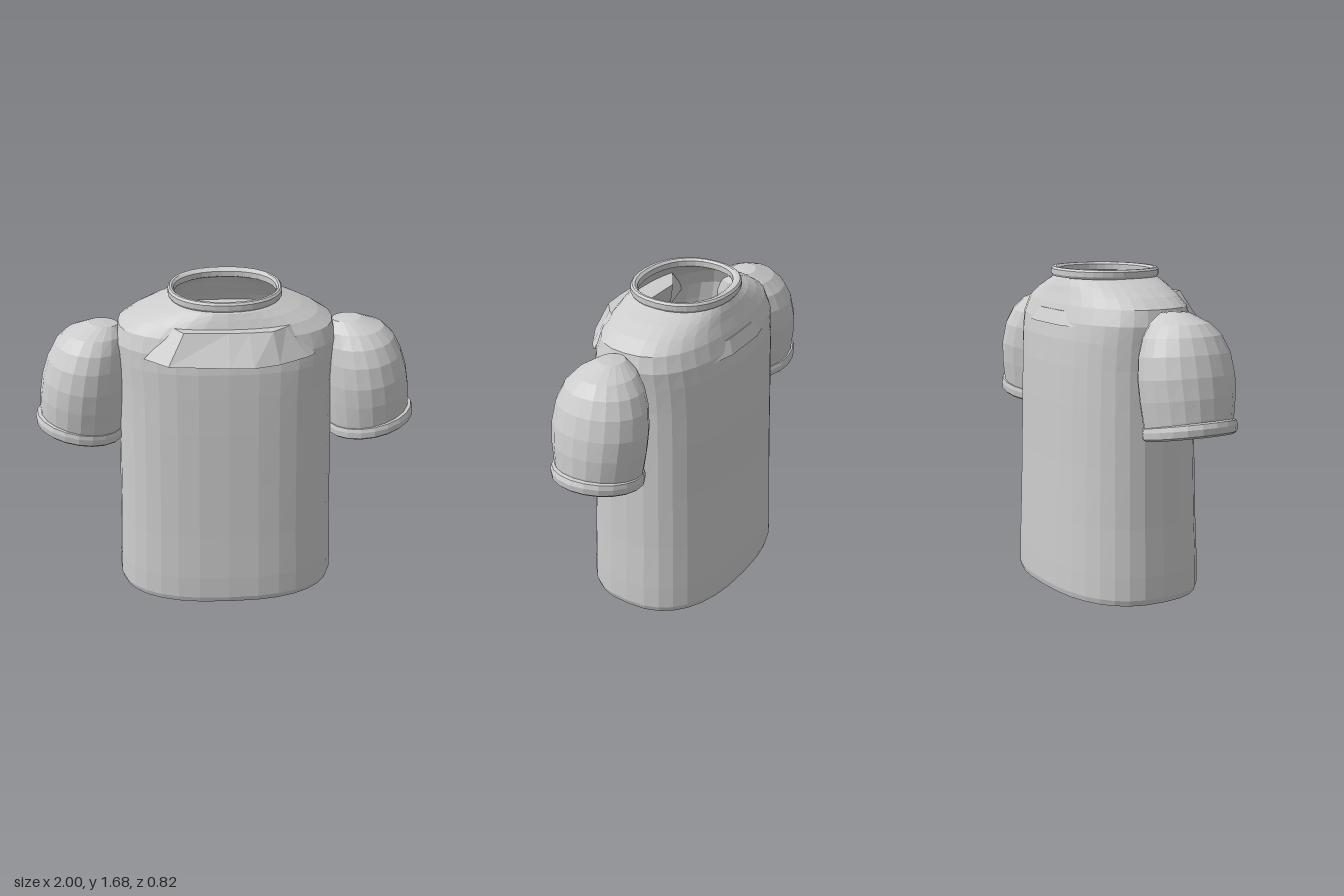
import * as THREE from 'three';

const fabric = new THREE.MeshStandardMaterial({ color: 0xcccccc, side: THREE.DoubleSide });
fabric.name = 'light grey fabric';

// Skin a stack of equally sized closed rings with flat facets
function loft(name, rings) {
  const n = rings[0].length;
  const index = [];
  for (let i = 0; i < rings.length - 1; i++) {
    for (let j = 0; j < n; j++) {
      const a = i * n + j, b = i * n + (j + 1) % n;
      index.push(a, a + n, b, b, a + n, b + n);
    }
  }
  const indexed = new THREE.BufferGeometry().setFromPoints(rings.flat());
  indexed.setIndex(index);
  const geometry = indexed.toNonIndexed();
  geometry.computeVertexNormals();
  const mesh = new THREE.Mesh(geometry, fabric);
  mesh.name = name;
  return mesh;
}

// Horizontal rounded oval: half width, front z, back z, squareness
function oval(y, w, front, back, power = 2.5, segments = 32) {
  const ring = [];
  const soft = (v) => Math.sign(v) * Math.pow(Math.abs(v), 2 / power);
  for (let j = 0; j < segments; j++) {
    const t = (j / segments) * Math.PI * 2;
    ring.push(new THREE.Vector3(
      w * soft(Math.cos(t)), y,
      (front + back) / 2 + ((front - back) / 2) * soft(Math.sin(t))));
  }
  return ring;
}

// Tilted sleeve ring spanning an outer and an inner point, on either side
function sleeveRing(side, [ox, oy, ix, iy, depth], segments = 20) {
  const ring = [];
  for (let j = 0; j < segments; j++) {
    const t = (j / segments) * Math.PI * 2;
    const k = (1 + Math.cos(t)) / 2;
    ring.push(new THREE.Vector3(
      side * (ix + (ox - ix) * k), iy + (oy - iy) * k, side * depth * Math.sin(t)));
  }
  return ring;
}

// Solid panel between a lower and an upper outline of [x, z] points
function panel(name, y0, lower, y1, upper) {
  const ring = (pts, y) => pts.map(([x, z]) => new THREE.Vector3(x, y, z));
  const centre = (pts, y) => {
    const c = ring(pts, y).reduce((s, p) => s.add(p), new THREE.Vector3()).divideScalar(pts.length);
    return pts.map(() => c.clone());
  };
  return loft(name, [centre(lower, y0), ring(lower, y0), ring(upper, y1), centre(upper, y1)]);
}

export function createModel() {
  const shirt = new THREE.Group();
  shirt.name = 'shirt';

  // Torso, open at hem and neck
  shirt.add(loft('torso', [
    [0, 0.575, 0.365, -0.405], [0.03, 0.585, 0.373, -0.412], [0.15, 0.583, 0.372, -0.41],
    [0.4, 0.572, 0.362, -0.402], [0.7, 0.566, 0.353, -0.394], [1.0, 0.56, 0.344, -0.388],
    [1.2, 0.558, 0.336, -0.382], [1.33, 0.565, 0.328, -0.373], [1.42, 0.573, 0.312, -0.358],
    [1.5, 0.55, 0.287, -0.328, 2.45], [1.55, 0.475, 0.268, -0.305, 2.4],
    [1.59, 0.39, 0.25, -0.29, 2.3], [1.62, 0.31, 0.235, -0.275, 2.2],
    [1.64, 0.262, 0.2, -0.24, 2.2],
  ].map((r) => oval(...r))));

  // Collar band
  shirt.add(loft('collar', [
    [1.63, 0.27, 0.215, -0.27], [1.628, 0.285, 0.232, -0.285], [1.64, 0.292, 0.24, -0.292],
    [1.665, 0.292, 0.24, -0.292], [1.676, 0.283, 0.231, -0.283], [1.676, 0.272, 0.215, -0.265],
    [1.665, 0.262, 0.2, -0.243], [1.635, 0.262, 0.2, -0.243], [1.63, 0.27, 0.215, -0.27],
  ].map((r) => oval(...r, 2.2))));

  // Puffed sleeves with cuffs
  for (const side of [1, -1]) {
    const sleeve = new THREE.Group();
    sleeve.name = side > 0 ? 'leftSleeve' : 'rightSleeve';
    sleeve.add(loft('sleevePuff', [
      [0.968, 0.97, 0.555, 0.88, 0.215], [0.972, 1.02, 0.54, 0.93, 0.222],
      [0.967, 1.12, 0.525, 1.05, 0.238], [0.95, 1.22, 0.515, 1.16, 0.245],
      [0.918, 1.32, 0.51, 1.28, 0.232], [0.875, 1.4, 0.51, 1.37, 0.198],
      [0.82, 1.453, 0.52, 1.44, 0.145], [0.7, 1.5, 0.55, 1.488, 0.065],
      [0.63, 1.5, 0.63, 1.5, 0],
    ].map((r) => sleeveRing(side, r))));
    sleeve.add(loft('cuff', [
      [0.985, 0.94, 0.55, 0.856, 0.218], [0.997, 0.952, 0.538, 0.865, 0.23],
      [1.0, 0.985, 0.535, 0.898, 0.233], [0.99, 1.008, 0.54, 0.918, 0.228],
      [0.968, 1.012, 0.56, 0.922, 0.215], [0.965, 0.955, 0.57, 0.872, 0.205],
      [0.985, 0.94, 0.55, 0.856, 0.218],
    ].map((r) => sleeveRing(side, r))));
    shirt.add(sleeve);
  }

  // Chest flap, slightly uneven from side to side
  shirt.add(panel('chestFlap',
    1.4, [[0.44, 0.24], [0.4, 0.28], [0.25, 0.37], [0.12, 0.408], [0, 0.402], [-0.3, 0.368],
      [-0.42, 0.26], [-0.2, 0.2], [0.2, 0.2]],
    1.55, [[0.31, 0.22], [0.29, 0.245], [0.22, 0.302], [0.1, 0.312], [0, 0.312], [-0.22, 0.302],
      [-0.27, 0.23], [-0.15, 0.15], [0.15, 0.15]]));

  // Back panel, barely proud of the torso
  shirt.add(panel('backPanel',
    1.4, [[-0.26, -0.34], [-0.12, -0.374], [0.12, -0.374], [0.26, -0.34], [0.15, -0.28], [-0.15, -0.28]],
    1.47, [[-0.2, -0.32], [-0.1, -0.342], [0.1, -0.342], [0.2, -0.32], [0.12, -0.26], [-0.12, -0.26]]));

  return shirt;
}
